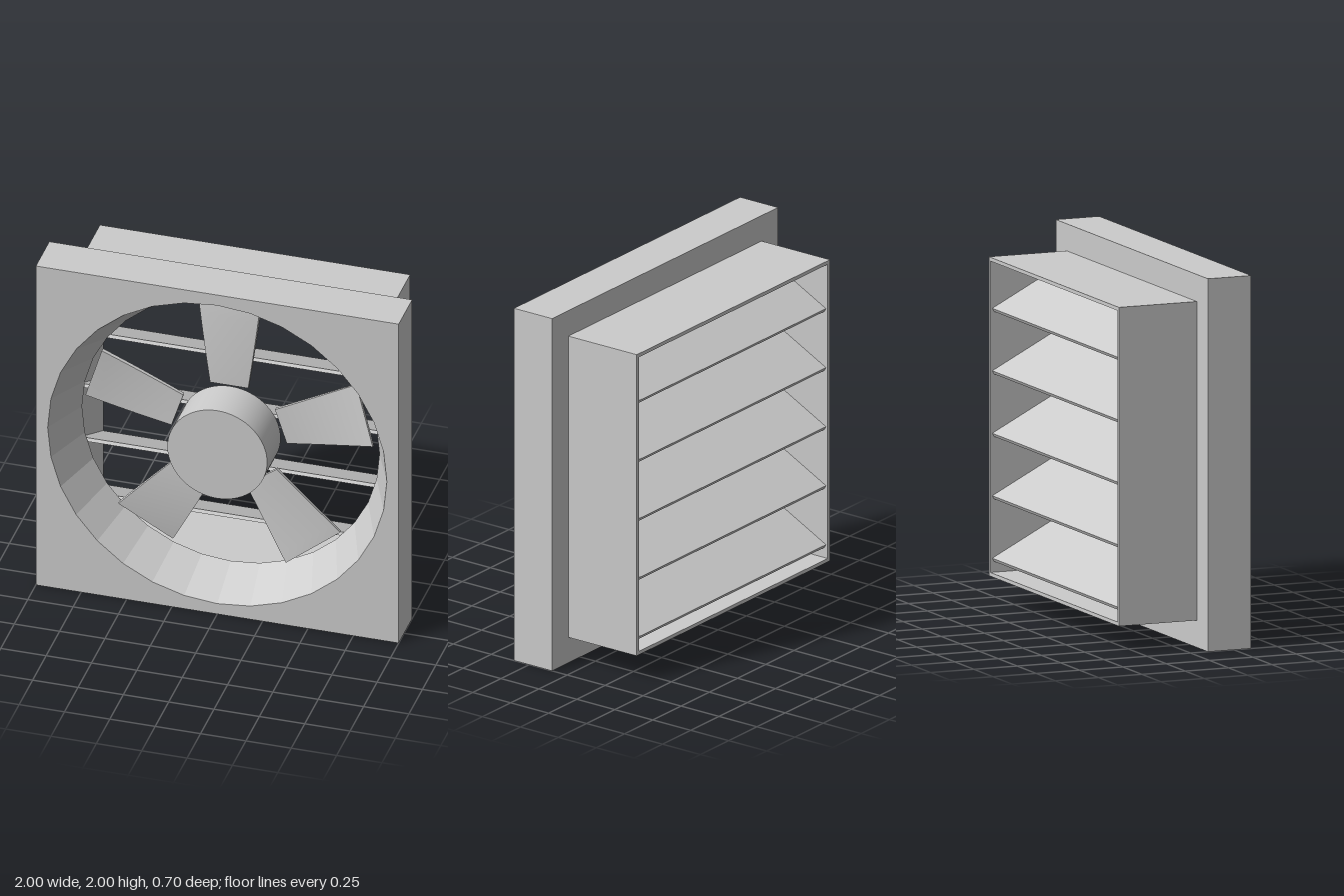
import * as THREE from 'three';

const material = new THREE.MeshStandardMaterial({ color: 0xcccccc });

function addMesh(parent, name, geometry, x = 0, y = 0, z = 0) {
  const mesh = new THREE.Mesh(geometry, material);
  mesh.name = name;
  mesh.position.set(x, y, z);
  parent.add(mesh);
  return mesh;
}

function square(half, Type = THREE.Shape) {
  return new Type([[-half, -half], [half, -half], [half, half], [-half, half]]
    .map(([x, y]) => new THREE.Vector2(x, y)));
}

// Square plate whose round hole narrows towards the back
function plateGeometry(depth, frontRadius, backRadius, sides) {
  const shape = square(1);
  const ring = [];
  for (let i = 0; i < sides; i++) {
    const a = (i / sides) * Math.PI * 2;
    ring.push(new THREE.Vector2(Math.cos(a) * frontRadius, Math.sin(a) * frontRadius));
  }
  shape.holes.push(new THREE.Path(ring));
  const geometry = new THREE.ExtrudeGeometry(shape, { depth, bevelEnabled: false });
  const p = geometry.attributes.position;
  for (let i = 0; i < p.count; i++) {
    const x = p.getX(i), y = p.getY(i);
    if (p.getZ(i) < depth / 2 && Math.hypot(x, y) < frontRadius + 0.01) {
      const s = backRadius / frontRadius;
      p.setXY(i, x * s, y * s);
    }
  }
  geometry.computeVertexNormals();
  return geometry;
}

// Blade that widens and twists from root to tip
function bladeGeometry() {
  const root = 0.3, tip = 0.785, twist = 0.17;
  const geometry = new THREE.BoxGeometry(1, 1, 0.02, 2, 8, 1);
  const p = geometry.attributes.position;
  for (let i = 0; i < p.count; i++) {
    const t = p.getY(i) + 0.5;
    const x = p.getX(i) * THREE.MathUtils.lerp(0.21, 0.355, t);
    const z = p.getZ(i), a = twist * t;
    p.setXYZ(i,
      x * Math.cos(a) - z * Math.sin(a),
      THREE.MathUtils.lerp(root, tip, t),
      x * Math.sin(a) + z * Math.cos(a));
  }
  geometry.computeVertexNormals();
  return geometry;
}

export function createModel() {
  const model = new THREE.Group();
  model.name = 'louveredWallFan';

  addMesh(model, 'frontPlate', plateGeometry(0.25, 0.935, 0.82, 32), 0, 1, 0.1);

  // Thin-walled rear housing, open at the back
  const frame = square(0.855);
  frame.holes.push(square(0.835, THREE.Path));
  addMesh(model, 'rearHousing',
    new THREE.ExtrudeGeometry(frame, { depth: 0.45, bevelEnabled: false }), 0, 1, -0.35);

  // Slats sloping down towards the back
  const louvers = new THREE.Group();
  louvers.name = 'louvers';
  model.add(louvers);
  const slat = new THREE.BoxGeometry(1.67, 0.02, 0.46);
  for (let i = 0; i < 5; i++) {
    const mesh = addMesh(louvers, 'louverSlat', slat, 0, 0.338 + i * 0.335, -0.13);
    mesh.rotation.x = -0.48;
  }

  // Hub and five blades
  const fan = new THREE.Group();
  fan.name = 'fan';
  fan.position.set(0, 1, 0);
  model.add(fan);
  const hub = new THREE.CylinderGeometry(0.275, 0.275, 0.25, 64).rotateX(Math.PI / 2);
  addMesh(fan, 'hub', hub, 0, 0, 0.225);
  const blade = bladeGeometry();
  for (let i = 0; i < 5; i++) {
    addMesh(fan, 'fanBlade', blade, 0, 0, 0.12).rotation.z = (i / 5) * Math.PI * 2;
  }

  return model;
}
